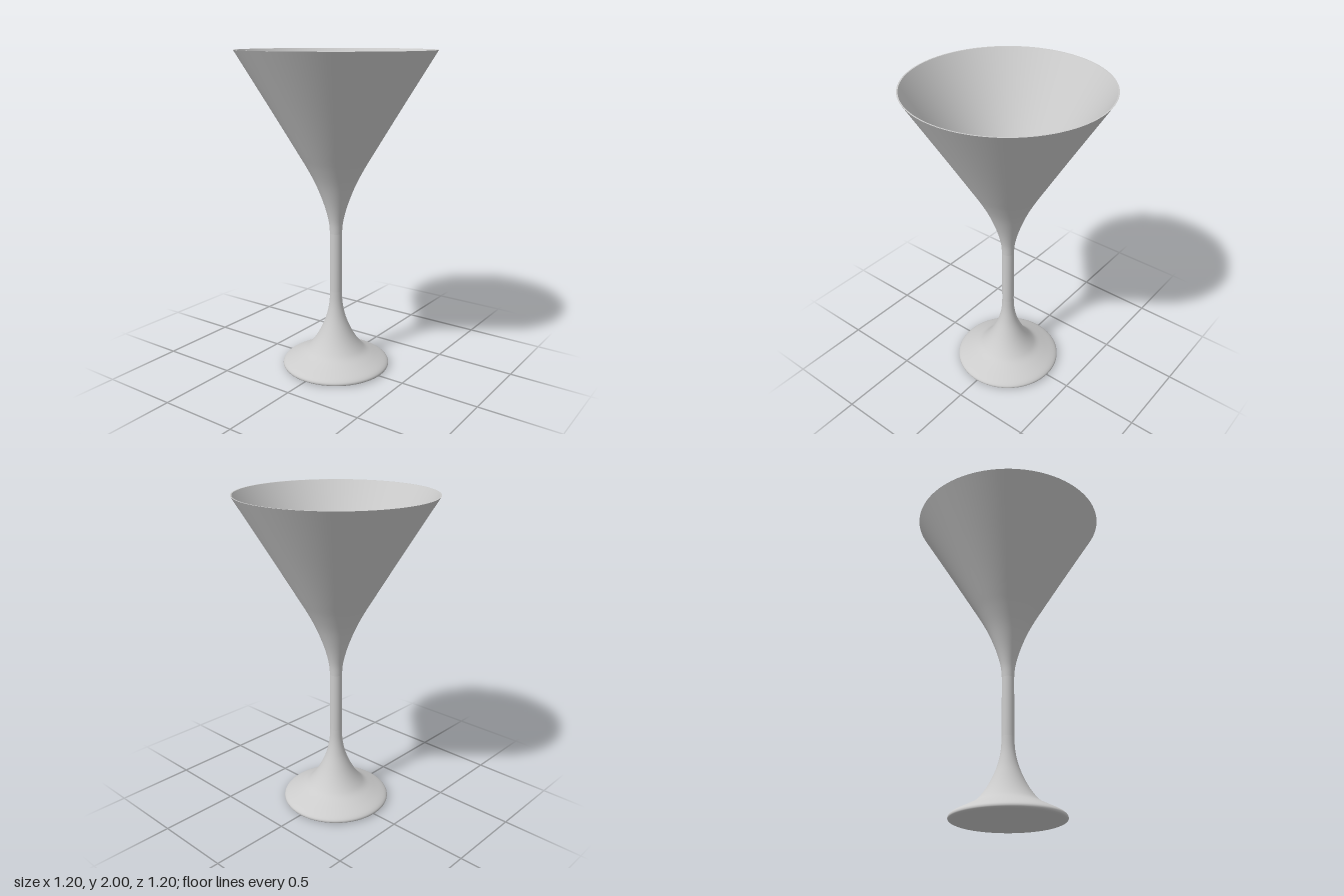
import * as THREE from 'three';

const SEGMENTS = 96;
const material = new THREE.MeshStandardMaterial({ color: 0xcccccc });

// Revolves a profile of [radius, height] pairs; with steps > 0 it is smoothed by a spline first.
function turned(name, profile, steps = 0) {
  let points = profile.map(([r, y]) => new THREE.Vector2(r, y));
  if (steps) points = new THREE.SplineCurve(points).getPoints(steps);
  points.forEach((p) => { p.x = Math.max(p.x, 0); });
  const mesh = new THREE.Mesh(new THREE.LatheGeometry(points, SEGMENTS), material);
  mesh.name = name;
  return mesh;
}

export function createModel() {
  const glass = new THREE.Group();
  glass.name = 'cocktailGlass';

  // Foot: slightly hollow underside, rounded edge and flare up to the stem
  glass.add(turned('footUnderside', [[0, 0.02], [0.1, 0.018], [0.2, 0.012], [0.325, 0]], 16));
  glass.add(turned('foot', [
    [0.325, 0], [0.338, 0.006], [0.342, 0.015], [0.337, 0.027], [0.315, 0.043],
    [0.255, 0.073], [0.2, 0.103], [0.165, 0.136], [0.13, 0.183], [0.098, 0.24],
    [0.068, 0.31], [0.05, 0.375], [0.041, 0.435], [0.038, 0.5],
  ], 52));

  // Stem: plain straight rod
  glass.add(turned('stem', [[0.038, 0.5], [0.038, 0.88]]));

  // Bowl: outer wall curving out of the stem into a straight cone
  glass.add(turned('bowlOutside', [
    [0.038, 0.88], [0.044, 0.95], [0.063, 1.03], [0.092, 1.115], [0.13, 1.205],
    [0.18, 1.3], [0.236, 1.395], [0.36, 1.603], [0.48, 1.802], [0.6, 2],
  ], 48));

  // Thin rim and inner wall, running down to a small rounded bottom
  glass.add(turned('rim', [[0.6, 2], [0.592, 2]]));
  glass.add(turned('bowlInside', [
    [0.592, 2], [0.472, 1.802], [0.352, 1.603], [0.228, 1.396], [0.171, 1.3],
    [0.12, 1.205], [0.08, 1.115], [0.05, 1.04], [0.026, 1.0], [0, 0.99],
  ], 48));

  return glass;
}
